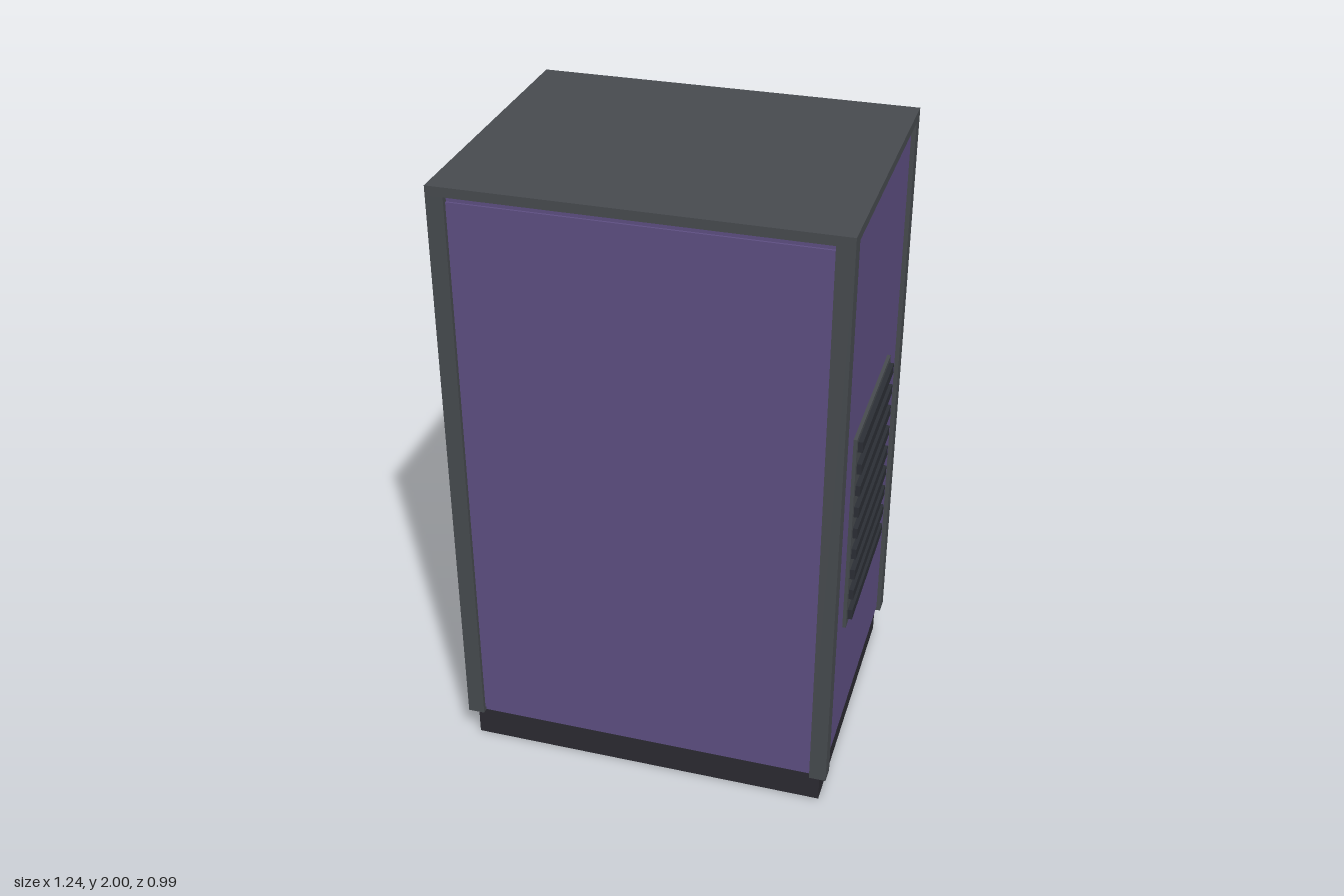
import * as THREE from 'three';

const material = (name, color) => {
  const m = new THREE.MeshStandardMaterial({ color });
  m.name = name;
  return m;
};

export function createModel() {
  const purple = material('purple panel', 0x5f5084);
  const grey = material('grey frame', 0x484c50);
  const dark = material('dark base', 0x2c2b32);
  const slate = material('slate louver', 0x2c2f36);
  const black = material('black bezel', 0x212227);
  const blue = material('blue screen', 0x3584cc);

  const model = new THREE.Group();
  model.name = 'cabinet';

  // Box given by its min and max corner
  const box = (name, mat, [x0, y0, z0], [x1, y1, z1], parent = model) => {
    const mesh = new THREE.Mesh(new THREE.BoxGeometry(x1 - x0, y1 - y0, z1 - z0), mat);
    mesh.position.set((x0 + x1) / 2, (y0 + y1) / 2, (z0 + z1) / 2);
    mesh.name = name;
    parent.add(mesh);
    return mesh;
  };

  const W = 0.61, F = 0.497, B = -0.48, bottom = 0.105, top = 2;
  const post = 0.054, slab = 0.03, recess = 0.02, lift = 0.006;
  const midZ = (F + B) / 2;

  // Plinth and recessed core
  box('base', dark, [-0.585, 0, -0.455], [0.585, bottom, 0.472]);
  box('core', purple, [-W + recess, bottom, B + recess], [W - recess, top - slab, F - recess]);

  // Frame: top slab and four corner posts
  box('topSlab', grey, [-W, top - slab, B], [W, top, F]);
  for (const sx of [-1, 1]) {
    const xs = sx < 0 ? [-W, -W + post] : [W - post, W];
    box('frontPost', grey, [xs[0], bottom, F - post], [xs[1], top - slab, F]);
    box('backPost', grey, [xs[0], bottom, B], [xs[1], top - slab, B + post]);
  }

  // Slightly raised panels on all four sides
  const px = W - post, y0 = 0.12, y1 = 1.95;
  box('frontPanel', purple, [-px, y0, F - recess - 0.01], [px, y1, F - recess + lift]);
  box('backPanel', purple, [-px, y0, B + recess - lift], [px, y1, B + recess + 0.01]);
  for (const sx of [-1, 1]) {
    const name = sx > 0 ? 'left' : 'right';
    const inner = W - recess - 0.01, outer = W - recess + lift;
    const span = (a, b) => (sx > 0 ? [a, b] : [-b, -a]);
    const [pa, pb] = span(inner, outer);
    box(name + 'Panel', purple, [pa, y0, B + post], [pb, y1, F - post]);

    // Vent plate with nine louvers
    const vent = new THREE.Group();
    vent.name = name + 'Vent';
    model.add(vent);
    const [va, vb] = span(inner, 0.607);
    box('ventPlate', grey, [va, 0.555, midZ - 0.269], [vb, 1.25, midZ + 0.269], vent);
    const [la, lb] = span(0.6, 0.622);
    for (let i = 0; i < 9; i++) {
      const y = 0.595 + i * 0.0775;
      box('louver', slate, [la, y - 0.018, midZ - 0.25], [lb, y + 0.018, midZ + 0.25], vent);
    }
  }

  // Back door and display
  box('backDoor', dark, [-0.305, 0.455, -0.49], [0.305, 1.555, -0.455]);
  box('displayBezel', black, [-0.267, 1.65, -0.49], [0.267, 1.855, -0.455]);
  box('screenMount', black, [-0.245, 1.68, -0.495], [0.245, 1.83, -0.48]);
  box('screen', blue, [-0.243, 1.682, -0.497], [0.243, 1.828, -0.494]);

  return model;
}
